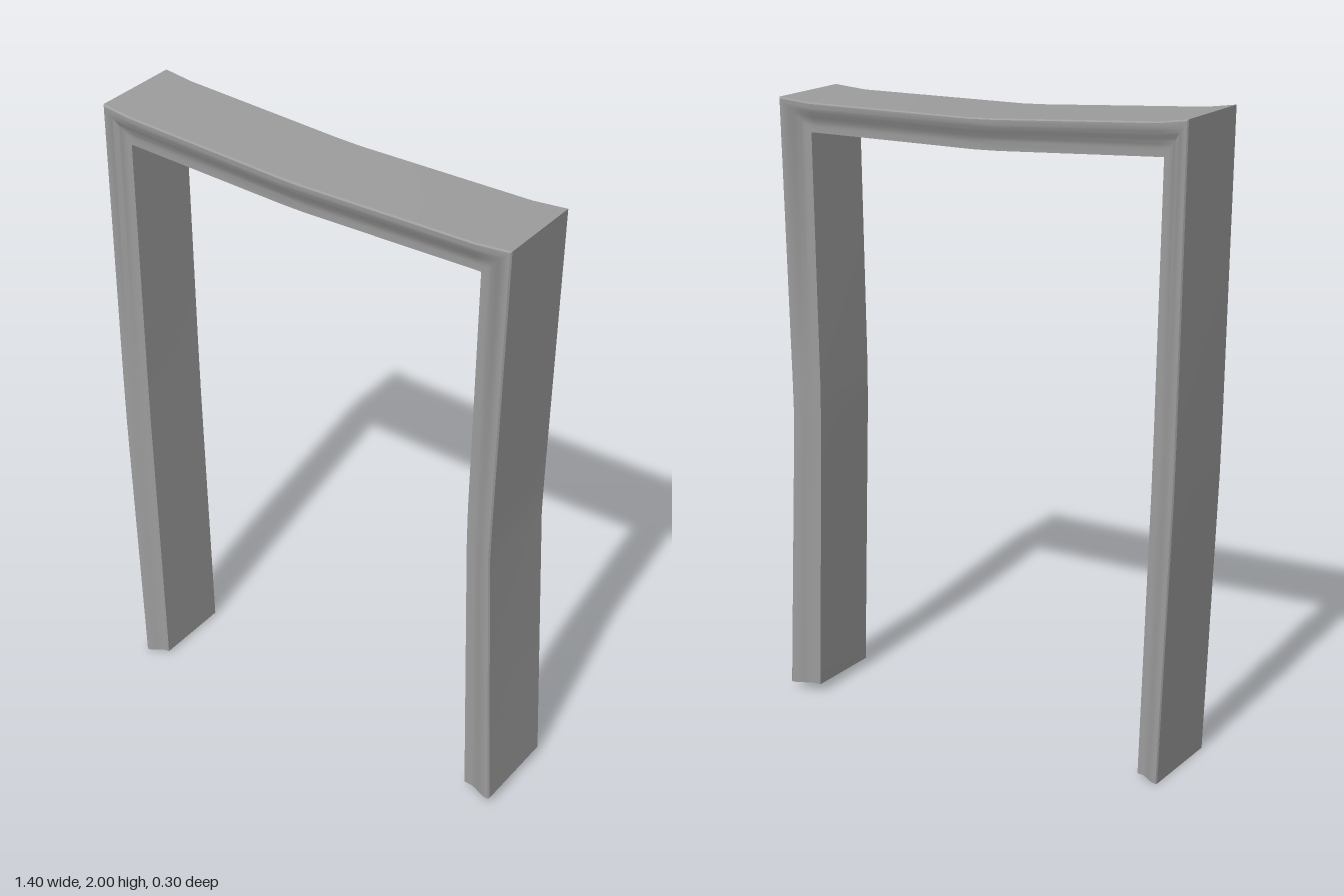
import * as THREE from 'three';
import { toCreasedNormals } from 'three/addons/utils/BufferGeometryUtils.js';

// Stations along the bent frame: outer x, outer y, inner x, inner y
const STATIONS = [
  [-0.651, 0, -0.575, 0.008],
  [-0.685, 0.9, -0.602, 0.9],
  [-0.689, 1.08, -0.606, 1.08],
  [-0.703, 2.0, -0.62, 1.885],
  [-0.61, 1.986, -0.60, 1.884],
  [-0.08, 1.948, -0.08, 1.851],
  [0.0, 1.944, 0.0, 1.848],
  [0.575, 1.939, 0.565, 1.845],
  [0.687, 1.947, 0.583, 1.844],
  [0.666, 1.06, 0.572, 1.06],
  [0.664, 0.93, 0.573, 0.93],
  [0.702, 0.024, 0.60, 0.027],
];
const Z_OUTER = 0.152, Z_INNER = 0.129, CHAMFER = 0.005;

// Half depth across the face: w = 0 at the chamfered outer edge, 1 at the inner edge
function halfDepth(w) {
  if (w === 0) return Z_OUTER - CHAMFER;
  return Z_OUTER + (Z_INNER - Z_OUTER) * THREE.MathUtils.smoothstep(w, 0.1, 0.8);
}

// Sweeps an open profile of [w, z] pairs through all stations
function sweep(name, profile, material) {
  const pos = [], index = [], n = profile.length;
  STATIONS.forEach(([ox, oy, ix, iy], i) => {
    profile.forEach(([w, z], j) => {
      pos.push(ox + (ix - ox) * w, oy + (iy - oy) * w, z);
      if (i && j) {
        const d = i * n + j, c = d - 1, b = d - n, a = b - 1;
        index.push(a, c, b, b, c, d);
      }
    });
  });
  const geometry = new THREE.BufferGeometry();
  geometry.setAttribute('position', new THREE.Float32BufferAttribute(pos, 3));
  geometry.setIndex(index);
  const mesh = new THREE.Mesh(toCreasedNormals(geometry, 0.7), material);
  mesh.name = name;
  return mesh;
}

export function createModel() {
  const group = new THREE.Group();
  group.name = 'doorFrame';
  const material = new THREE.MeshStandardMaterial({ color: 0x9c9c9c, side: THREE.DoubleSide });

  // Moulded faces step down towards the opening
  const steps = [0, 0.04, 0.1, 0.18, 0.26, 0.34, 0.4, 0.45, 0.5, 0.56, 0.64, 0.72, 0.8, 1];
  const back = steps.map((w) => [w, -halfDepth(w)]);
  const front = steps.map((w) => [w, halfDepth(w)]).reverse();
  const zo = halfDepth(0), zi = halfDepth(1);

  // Hollow frame, open at the feet
  group.add(
    sweep('outerFace', [[0, zo], [0, -zo]], material),
    sweep('backMoulding', back, material),
    sweep('innerFace', [[1, -zi], [1, zi]], material),
    sweep('frontMoulding', front, material),
  );
  return group;
}
